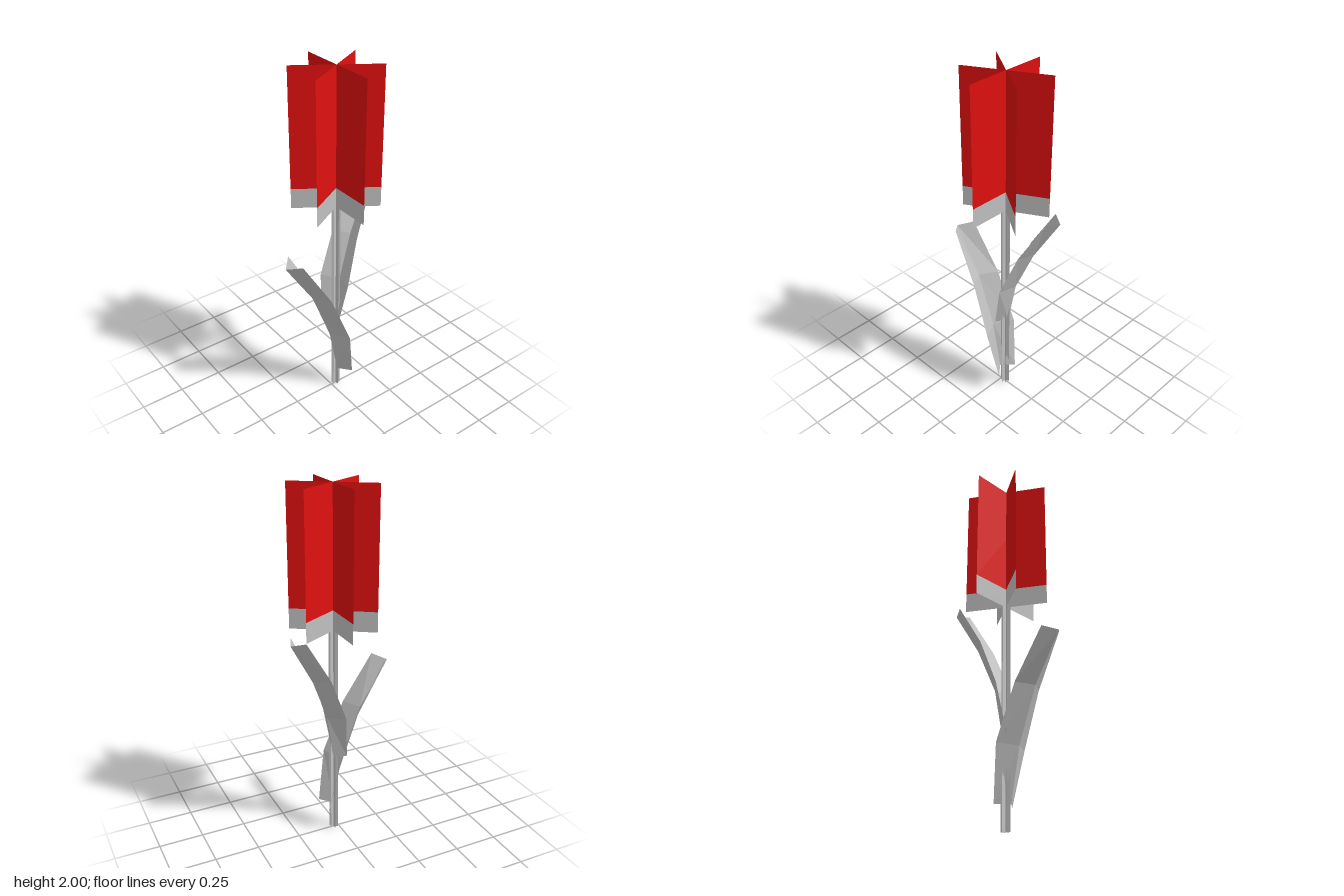
import * as THREE from 'three';

const AXIS_X = 0.03;

// Half-spans (x, z) of the three crossing vertical sheets
const SPANS = [[0.195, 0.13], [0.202, -0.112], [0, 0.231]];

function sheet(rows, material, name) {
  // Faceted surface through a grid of cross-section points
  const pos = [];
  for (let i = 0; i < rows.length - 1; i++) {
    for (let j = 0; j < rows[i].length - 1; j++) {
      const a = rows[i][j], b = rows[i][j + 1], c = rows[i + 1][j + 1], d = rows[i + 1][j];
      pos.push(...a, ...b, ...c, ...a, ...c, ...d);
    }
  }
  const geo = new THREE.BufferGeometry();
  geo.setAttribute('position', new THREE.Float32BufferAttribute(pos, 3));
  geo.computeVertexNormals();
  const mesh = new THREE.Mesh(geo, material);
  mesh.name = name;
  return mesh;
}

function crossedSheets(name, y0, y1, scale, material) {
  const group = new THREE.Group();
  group.name = name;
  SPANS.forEach(([dx, dz], i) => {
    const x = dx * scale, z = dz * scale;
    const row = (y) => [[AXIS_X - x, y, -z], [AXIS_X + x, y, z]];
    group.add(sheet([row(y0), row(y1)], material, `${name}Sheet${i + 1}`));
  });
  return group;
}

export function createModel() {
  const red = new THREE.MeshStandardMaterial({ name: 'petalRed', color: 0xe01010, side: THREE.DoubleSide, flatShading: true });
  const grey = new THREE.MeshStandardMaterial({ name: 'stemGrey', color: 0xc0c0c0, side: THREE.DoubleSide, flatShading: true });

  const model = new THREE.Group();
  model.name = 'flower';

  // Stem and flower head
  model.add(crossedSheets('stem', 0, 1.23, 0.105, grey));
  model.add(crossedSheets('headBase', 1.23, 1.342, 1, grey));
  model.add(crossedSheets('petals', 1.342, 2, 1, red));

  // Folded leaves: each row is edge, centre crease, edge, from bottom to tip
  model.add(sheet([
    [[0.078, 0.14, -0.035], [0.02, 0.14, 0.031], [0.078, 0.14, 0.1]],
    [[0.027, 0.437, -0.075], [-0.036, 0.43, 0.031], [0.027, 0.437, 0.14]],
    [[-0.09, 0.737, -0.062], [-0.15, 0.73, 0.031], [-0.09, 0.737, 0.125]],
    [[-0.255, 1.012, -0.037], [-0.317, 0.99, 0.031], [-0.255, 1.012, 0.1]],
  ], grey, 'lowerLeaf'));
  model.add(sheet([
    [[-0.026, 0.49, -0.056], [0.038, 0.482, -0.018], [0.004, 0.49, 0.055]],
    [[0.002, 0.75, -0.105], [0.08, 0.738, -0.03], [0.058, 0.745, 0.075]],
    [[0.1, 1.0, -0.124], [0.178, 0.985, -0.062], [0.15, 0.995, 0.03]],
    [[0.246, 1.243, -0.146], [0.315, 1.228, -0.104], [0.283, 1.243, -0.031]],
  ], grey, 'upperLeaf'));

  return model;
}
